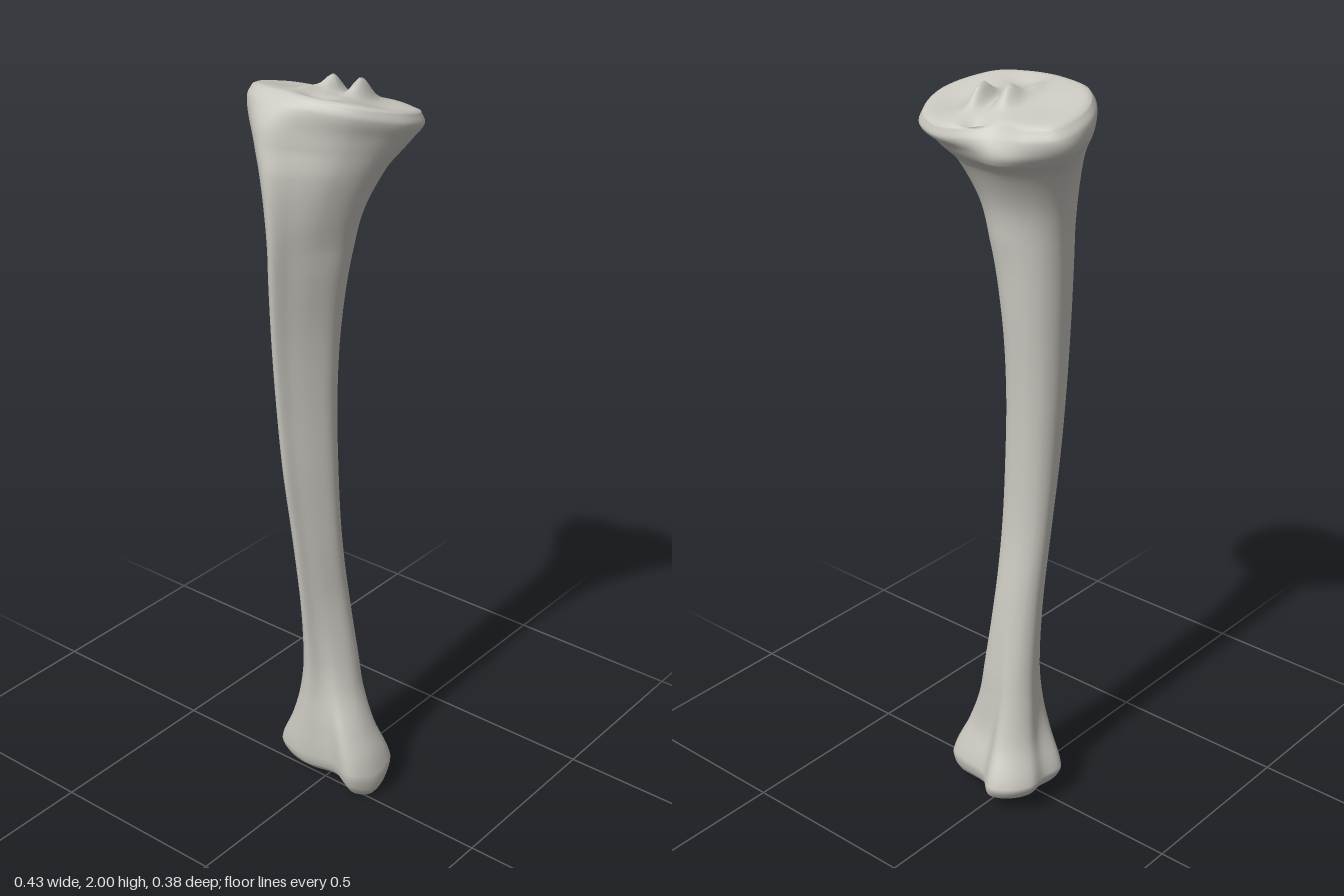
import * as THREE from 'three';
import { mergeVertices } from 'three/addons/utils/BufferGeometryUtils.js';

const AROUND = 80, STEPS = 6;

// Cross-sections as x, z pairs, from the front round by +x, the back and -x
const SHAPES = [
  // plateau rim
  [-.05, .115, .06, .11, .16, .07, .217, -.04, .18, -.15, .09, -.19,
    .01, -.165, -.04, -.135, -.12, -.125, -.19, -.09, -.198, .02, -.14, .095],
  // flare with the front tuberosity
  [-.05, .185, .03, .145, .13, .08, .19, -.02, .17, -.11, .09, -.155,
    .01, -.165, -.06, -.165, -.13, -.125, -.19, -.06, -.18, .03, -.12, .125],
  // three-sided shaft with a front crest
  [-.03, .148, -.008, .12, .02, .08, .042, .03, .036, -.005, .01, -.02,
    -.02, -.02, -.05, -.012, -.077, .01, -.09, .045, -.08, .09, -.053, .13],
  // ankle end
  [-.05, .06, .05, .042, .13, .055, .168, -.01, .155, -.09, .1, -.115,
    .02, -.125, -.04, -.168, -.09, -.145, -.125, -.09, -.122, -.04, -.125, .03],
].map(toUnitOutline);

// Height, x from/to, z from/to, cross-section number
const ROWS = [
  [1.957, -.195, .206, -.182, .118, 0],
  [1.93, -.212, .217, -.19, .143, .3],
  [1.89, -.21, .2, -.17, .168, .8],
  [1.85, -.185, .178, -.15, .179, 1],
  [1.8, -.15, .15, -.108, .188, 1.3],
  [1.7, -.115, .107, -.06, .188, 1.7],
  [1.6, -.1, .08, -.045, .182, 2],
  [1.4, -.095, .05, -.03, .165, 2],
  [1.2, -.09, .042, -.02, .148, 2],
  [1, -.082, .044, -.02, .13, 2],
  [.8, -.075, .046, -.03, .1, 2],
  [.6, -.07, .048, -.06, .075, 2],
  [.4, -.075, .068, -.09, .055, 2.25],
  [.3, -.084, .086, -.105, .053, 2.5],
  [.2, -.1, .125, -.13, .058, 2.85],
  [.1, -.135, .168, -.175, .06, 3],
  [.065, -.122, .164, -.165, .05, 3],
  [.045, -.1, .15, -.145, .032, 3],
];

// Smooth closed outline scaled to a unit box
function toUnitOutline(flat) {
  const pts = [];
  for (let i = 0; i < flat.length; i += 2) pts.push(new THREE.Vector3(flat[i], 0, flat[i + 1]));
  const curve = new THREE.CatmullRomCurve3(pts, true, 'centripetal');
  const out = [];
  for (let j = 0; j < AROUND; j++) out.push(curve.getPoint(j / AROUND));
  const box = new THREE.Box3().setFromPoints(out), size = box.getSize(new THREE.Vector3());
  return out.map(p => [(p.x - box.min.x) / size.x, (p.z - box.min.z) / size.z]);
}

// Smooth blend between neighbouring rows, allowing for uneven heights
function rowAt(i, t) {
  const a = ROWS[i], b = ROWS[i + 1], h = b[0] - a[0];
  const slope = (k, c) => {
    const p = ROWS[Math.max(k - 1, 0)], n = ROWS[Math.min(k + 1, ROWS.length - 1)];
    return (n[c] - p[c]) / (n[0] - p[0]);
  };
  const t2 = t * t, t3 = t2 * t;
  return a.map((v, c) => c === 0 ? v + h * t
    : v * (2 * t3 - 3 * t2 + 1) + b[c] * (3 * t2 - 2 * t3)
      + h * (slope(i, c) * (t3 - 2 * t2 + t) + slope(i + 1, c) * (t3 - t2)));
}

function ringFrom([y, x0, x1, z0, z1, s]) {
  s = THREE.MathUtils.clamp(s, 0, 3);
  const k = Math.min(Math.floor(s), 2), f = s - k;
  return SHAPES[k].map(([u, v], j) => {
    const [u2, v2] = SHAPES[k + 1][j];
    return [x0 + (x1 - x0) * (u + (u2 - u) * f), y, z0 + (z1 - z0) * (v + (v2 - v) * f)];
  });
}

// Ring shrunk towards a centre, with its height set by a rule
const capRing = (ring, cx, cz, s, height) => ring.map(([x, , z]) => {
  const px = cx + (x - cx) * s, pz = cz + (z - cz) * s;
  return [px, height(px, pz, s), pz];
});

const bump = (x, z, cx, cz, rx, rz) => Math.exp(-(((x - cx) / rx) ** 2) - ((z - cz) / rz) ** 2);

// Joint surface: two sockets, a pair of central spines and a dip before and behind them
const plateauHeight = (x, z, s) => 1.967 - .006 * s ** 8
  + .042 * bump(x, z, -.012, -.045, .02, .035) + .048 * bump(x, z, .055, -.065, .018, .04)
  + .012 * bump(x, z, -.03, .02, .02, .05)
  - .016 * bump(x, z, .135, -.06, .05, .08) - .006 * bump(x, z, -.12, -.02, .05, .06)
  - .012 * bump(x, z, .03, .06, .05, .03) - .02 * bump(x, z, 0, -.15, .03, .03);

// Hollow under the ankle end
const ankleHeight = (x, z, s) => .042 + .004 * s ** 6 + .022 * bump(x, z, 0, -.05, .09, .06);

// Backward slope of the plateau and the downward point of the inner ankle
function bend([x, y, z]) {
  const top = THREE.MathUtils.smoothstep(y, 1.78, 1.95);
  const low = 1 - THREE.MathUtils.smoothstep(y, .045, .15);
  const point = THREE.MathUtils.smoothstep(x, .07, .125) * bump(x, z, 0, -.015, 9, .065);
  return [x, y + .24 * z * top - .042 * point * low, z];
}

function boneGeometry() {
  const sides = [];
  for (let i = 0; i < ROWS.length - 1; i++)
    for (let k = 0; k < STEPS; k++) sides.push(ringFrom(rowAt(i, k / STEPS)));
  sides.push(ringFrom(ROWS[ROWS.length - 1]));

  const rings = [];
  for (let k = 0; k < 20; k++) rings.push(capRing(sides[0], .01, -.035, k / 20, plateauHeight));
  rings.push(...sides);
  for (let k = 11; k >= 0; k--) rings.push(capRing(sides[sides.length - 1], .02, -.05, k / 12, ankleHeight));

  const index = [];
  for (let i = 0; i < rings.length - 1; i++)
    for (let j = 0; j < AROUND; j++) {
      const n = (j + 1) % AROUND;
      const a = i * AROUND + j, b = i * AROUND + n, c = a + AROUND, d = b + AROUND;
      if (i < rings.length - 2) index.push(a, c, d);
      else index.push(a, c, b);
      if (i > 0 && i < rings.length - 2) index.push(a, d, b);
    }
  let geometry = new THREE.BufferGeometry();
  geometry.setAttribute('position', new THREE.Float32BufferAttribute(rings.flat().map(bend).flat(), 3));
  geometry.setIndex(index);
  geometry = mergeVertices(geometry, 1e-5);
  geometry.computeVertexNormals();
  return geometry;
}

export function createModel() {
  const bone = new THREE.MeshStandardMaterial({ color: 0xc9c7bf });
  bone.name = 'bone';
  const mesh = new THREE.Mesh(boneGeometry(), bone);
  mesh.name = 'shinBone';
  const group = new THREE.Group();
  group.name = 'shinBoneModel';
  group.add(mesh);
  return group;
}
